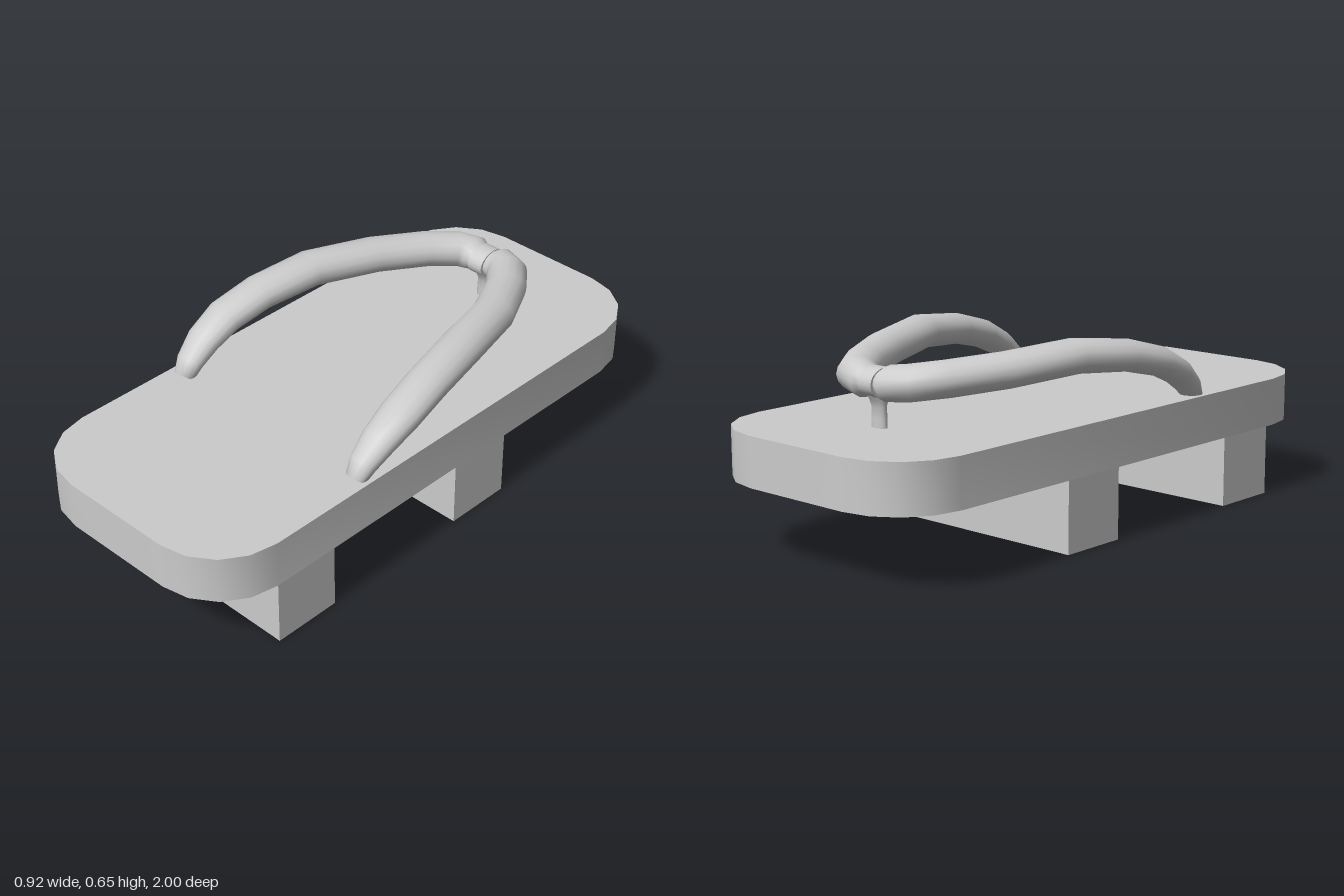
import * as THREE from 'three';
import { toCreasedNormals } from 'three/addons/utils/BufferGeometryUtils.js';

const material = new THREE.MeshStandardMaterial({ color: 0xcccccc });
const SIDES = 16;

// Strap stations for the +x side: centre x, y, z, half width, half thickness
const STRAP = [
  [0.000, 0.541, -0.660, 0.052, 0.042],
  [0.030, 0.541, -0.661, 0.053, 0.043],
  [0.055, 0.542, -0.664, 0.064, 0.057],
  [0.110, 0.547, -0.640, 0.068, 0.058],
  [0.180, 0.556, -0.550, 0.068, 0.058],
  [0.265, 0.570, -0.385, 0.071, 0.057],
  [0.335, 0.590, -0.150, 0.072, 0.056],
  [0.372, 0.570, 0.050, 0.071, 0.052],
  [0.390, 0.534, 0.190, 0.070, 0.049],
  [0.391, 0.487, 0.285, 0.061, 0.044],
  [0.388, 0.435, 0.350, 0.048, 0.037],
  [0.386, 0.395, 0.378, 0.037, 0.030],
];

// Skin elliptical rings along the stations; side = -1 mirrors in x
function strapGeometry(side) {
  const centres = STRAP.map(([x, y, z]) => new THREE.Vector3(x, y, z));
  const up = new THREE.Vector3(0, 1, 0);
  const pos = [], idx = [];
  STRAP.forEach(([, , , w, h], i) => {
    const t = centres[Math.min(i + 1, STRAP.length - 1)].clone()
      .sub(centres[Math.max(i - 1, 0)]).normalize();
    if (i < 3) t.set(1, 0, 0);
    const across = new THREE.Vector3().crossVectors(up, t).normalize();
    const normal = new THREE.Vector3().crossVectors(t, across);
    for (let k = 0; k < SIDES; k++) {
      const a = (k / SIDES) * Math.PI * 2;
      const p = centres[i].clone()
        .addScaledVector(across, Math.cos(a) * w)
        .addScaledVector(normal, Math.sin(a) * h);
      pos.push(p.x * side, p.y, p.z);
    }
  });
  const tri = (a, b, c) => (side > 0 ? idx.push(a, b, c) : idx.push(a, c, b));
  for (let i = 0; i < STRAP.length - 1; i++) {
    for (let k = 0; k < SIDES; k++) {
      const a = i * SIDES + k, b = i * SIDES + ((k + 1) % SIDES);
      tri(a, b, b + SIDES);
      tri(a, b + SIDES, a + SIDES);
    }
  }
  // Close the end that meets the board
  const last = (STRAP.length - 1) * SIDES;
  for (let k = 1; k < SIDES - 1; k++) tri(last, last + k, last + k + 1);
  const g = new THREE.BufferGeometry();
  g.setAttribute('position', new THREE.Float32BufferAttribute(pos, 3));
  g.setIndex(idx);
  g.computeVertexNormals();
  return g;
}

// Board outline with rounded corners, extruded upward
function boardGeometry() {
  const w = 0.44, l = 1, r = 0.24;
  const points = [];
  [[1, 1], [-1, 1], [-1, -1], [1, -1]].forEach(([sx, sy], q) => {
    for (let i = 0; i <= 4; i++) {
      const a = (q + i / 4) * Math.PI / 2;
      points.push(new THREE.Vector2(
        sx * (w - r) + r * Math.cos(a), sy * (l - r) + r * Math.sin(a)));
    }
  });
  const g = new THREE.ExtrudeGeometry(new THREE.Shape(points), { depth: 0.16, bevelEnabled: false });
  g.rotateX(-Math.PI / 2).translate(0, 0.24, 0);
  return toCreasedNormals(g, Math.PI / 5);
}

export function createModel() {
  const group = new THREE.Group();
  const add = (name, geometry) => {
    const mesh = new THREE.Mesh(geometry, material);
    mesh.name = name;
    group.add(mesh);
    return mesh;
  };

  add('board', boardGeometry());

  // Two cross blocks under the board
  for (const [name, z] of [['heelTooth', 0.628], ['toeTooth', -0.16]]) {
    add(name, new THREE.BoxGeometry(0.848, 0.24, 0.237)).position.set(0, 0.12, z);
  }

  add('leftStrap', strapGeometry(1));
  add('rightStrap', strapGeometry(-1));

  // Band wrapped round the join of the straps
  const band = new THREE.CylinderGeometry(1, 1, 0.058, 20).rotateZ(Math.PI / 2);
  band.scale(1, 0.048, 0.062);
  add('band', band).position.set(0, 0.539, -0.66);

  // Toe post, flaring into the band
  const profile = [[0.03, 0.39], [0.03, 0.43], [0.027, 0.465], [0.028, 0.49], [0.03, 0.52]]
    .map(([r, y]) => new THREE.Vector2(r, y));
  const post = new THREE.LatheGeometry(profile, 16);
  const p = post.attributes.position;
  for (let i = 0; i < p.count; i++) {
    const flare = Math.max(0, p.getY(i) - 0.46) / 0.06;
    p.setZ(i, p.getZ(i) * (0.62 + 1.1 * flare));
  }
  post.computeVertexNormals();
  add('toePost', post).position.set(0, 0, -0.66);

  return group;
}
